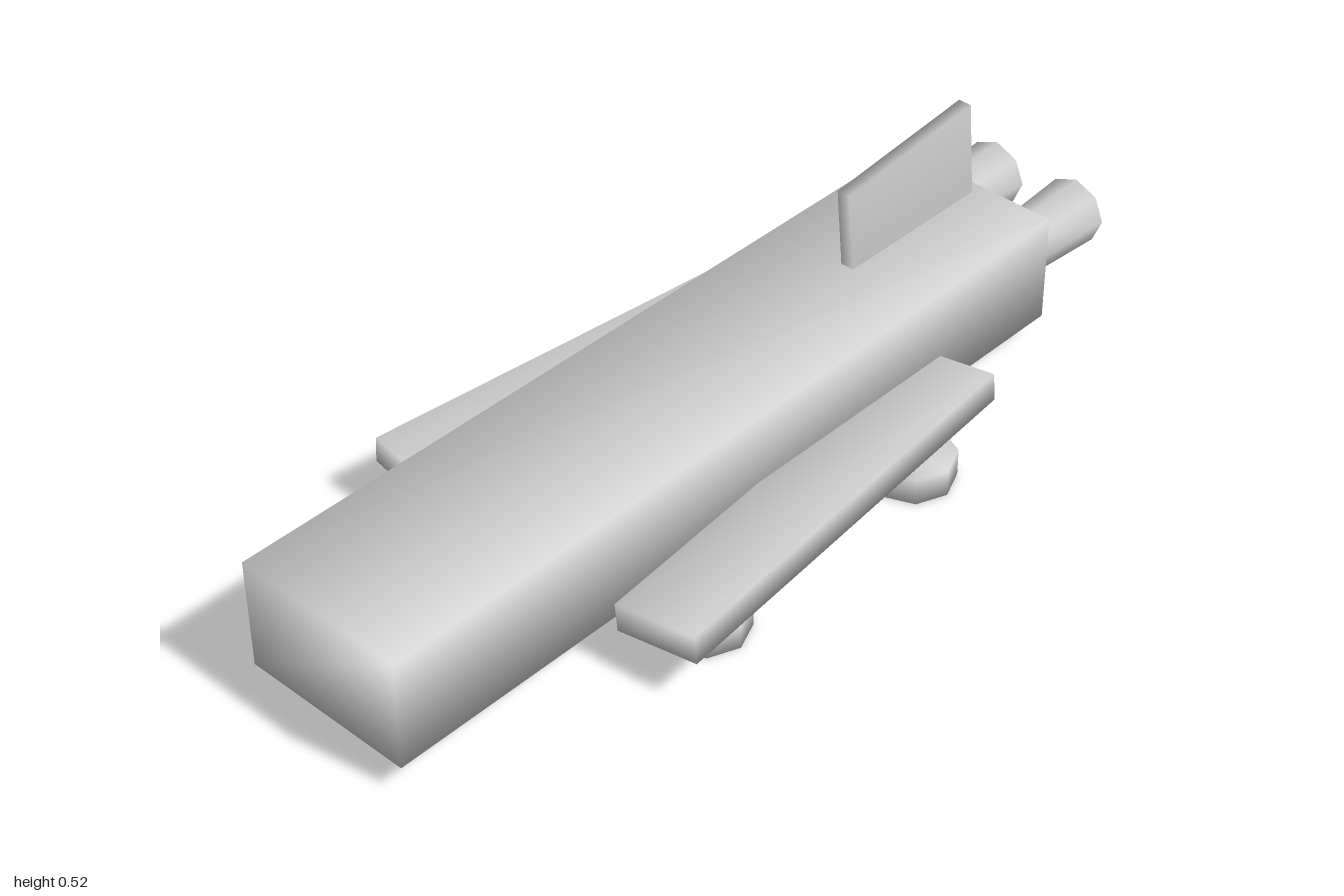
import * as THREE from 'three';
import { mergeVertices } from 'three/addons/utils/BufferGeometryUtils.js';

const material = new THREE.MeshStandardMaterial({ color: 0xcccccc });

// Weld the corners so the shading runs softly over every edge
function soften(geometry) {
  geometry.deleteAttribute('normal');
  geometry.deleteAttribute('uv');
  const welded = mergeVertices(geometry);
  welded.computeVertexNormals();
  return welded;
}

function addPart(parent, name, geometry, x, y, z) {
  const mesh = new THREE.Mesh(soften(geometry), material);
  mesh.name = name;
  mesh.position.set(x, y, z);
  parent.add(mesh);
  return mesh;
}

export function createModel() {
  const model = new THREE.Group();
  model.name = 'vehicle';

  // Long box hull
  addPart(model, 'body', new THREE.BoxGeometry(0.386, 0.24, 1.79), 0, 0.18, 0.105);

  // Upright tail fin, leaning back into the hull
  const fin = addPart(model, 'tailFin', new THREE.BoxGeometry(0.03, 0.26, 0.372), 0, 0.371, -0.568);
  fin.rotation.x = 0.1;

  for (const [side, s] of [['left', 1], ['right', -1]]) {
    // Side wing, splayed outward at the front and raised at the outer edge
    const wing = addPart(model, side + 'Wing', new THREE.BoxGeometry(0.18, 0.06, 0.97), s * 0.28, 0.12, 0.025);
    wing.rotation.set(0, s * 0.1, s * 0.1, 'ZYX');

    // Flaring exhaust at the back
    const exhaust = new THREE.CylinderGeometry(0.062, 0.074, 0.22, 8).rotateX(Math.PI / 2);
    addPart(model, side + 'Exhaust', exhaust, s * 0.105, 0.18, -0.89);

    // Flat landing pads under the wing
    for (const [end, z] of [['Front', 0.33], ['Rear', -0.265]]) {
      addPart(model, side + end + 'Pad', new THREE.CylinderGeometry(0.09, 0.09, 0.06, 8), s * 0.283, 0.03, z);
    }
  }
  return model;
}
